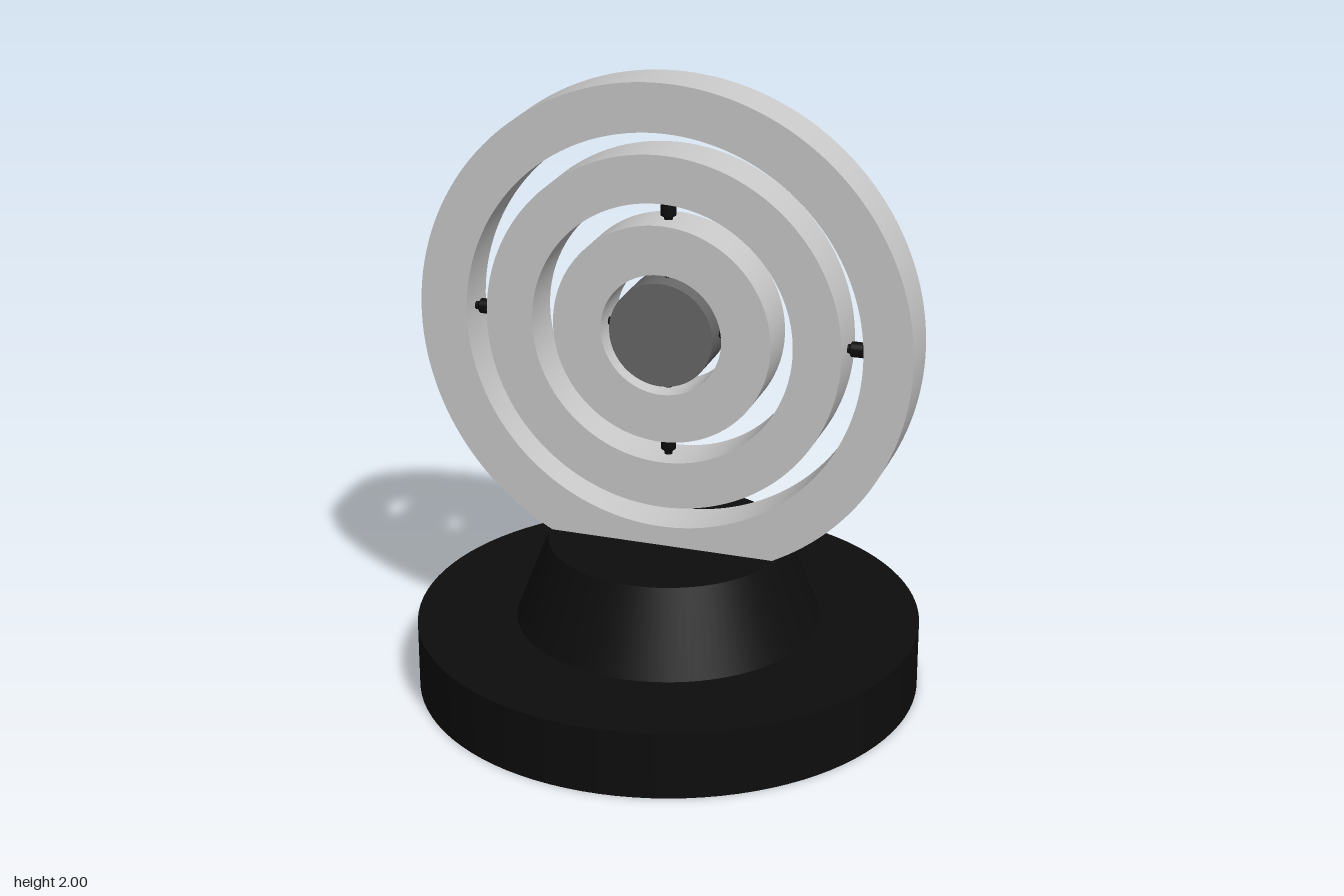
import * as THREE from 'three';
import { toCreasedNormals } from 'three/addons/utils/BufferGeometryUtils.js';

const CENTRE_Y = 1.2;
const DEPTH = 0.156;

export function createModel() {
  const model = new THREE.Group();
  model.name = 'gyroscope';

  const material = (name, color) => {
    const m = new THREE.MeshStandardMaterial({ color });
    m.name = name;
    return m;
  };
  const silver = material('silver', 0xcacaca);
  const darkGrey = material('darkGrey', 0x686868);
  const black = material('black', 0x0d0d0d);

  const add = (parent, name, geometry, mat, y = 0) => {
    const mesh = new THREE.Mesh(geometry, mat);
    mesh.name = name;
    mesh.position.y = y;
    parent.add(mesh);
    return mesh;
  };

  // Stand: wide disc and a tapered pedestal
  add(model, 'base', new THREE.CylinderGeometry(0.81, 0.81, 0.22, 96), black, 0.11);
  add(model, 'pedestal', new THREE.CylinderGeometry(0.385, 0.49, 0.27, 96), black, 0.355);

  // Flat concentric rings; cutY trims the bottom of a ring along a chord
  const ring = (name, outer, inner, cutY) => {
    const shape = new THREE.Shape();
    if (cutY === undefined) {
      shape.absarc(0, 0, outer, 0, Math.PI * 2);
    } else {
      const a = Math.asin(cutY / outer);
      shape.absarc(0, 0, outer, a, Math.PI - a);
      shape.closePath();
    }
    const hole = new THREE.Path();
    hole.absarc(0, 0, inner, 0, Math.PI * 2, true);
    shape.holes.push(hole);
    const geometry = new THREE.ExtrudeGeometry(shape, {
      depth: DEPTH, bevelEnabled: false, curveSegments: 96,
    });
    geometry.translate(0, 0, -DEPTH / 2);
    add(model, name, toCreasedNormals(geometry, 0.5), silver, CENTRE_Y);
  };
  ring('outerRing', 0.8, 0.645, -0.71);
  ring('middleRing', 0.577, 0.424, undefined);
  ring('innerRing', 0.354, 0.196, undefined);

  // Rotor at the centre
  const rotor = new THREE.CylinderGeometry(0.168, 0.168, DEPTH, 64);
  rotor.rotateX(Math.PI / 2);
  add(model, 'rotor', rotor, darkGrey, CENTRE_Y);

  // Pivots: turned profiles pointing outwards from the centre
  const pivot = (name, profile, angle) => {
    const points = profile.map(([r, y]) => new THREE.Vector2(r, y));
    const geometry = toCreasedNormals(new THREE.LatheGeometry(points, 20), 0.5);
    add(model, name, geometry, black, CENTRE_Y).rotation.z = angle;
  };
  const bearing = (start, end) => [
    [0.014, start - 0.004], [0.014, start + 0.006], [0.024, start + 0.012],
    [0.024, end - 0.018], [0.013, end - 0.009], [0.013, end + 0.004],
  ];
  const axle = [[0.013, 0.16], [0.013, 0.2]];

  for (const side of [0, Math.PI]) {
    pivot('outerPivot', bearing(0.577, 0.645), side + Math.PI / 2);
    pivot('middlePivot', bearing(0.354, 0.424), side);
    pivot('rotorAxle', axle, side);
    pivot('rotorAxle', axle, side + Math.PI / 2);
  }

  return model;
}
